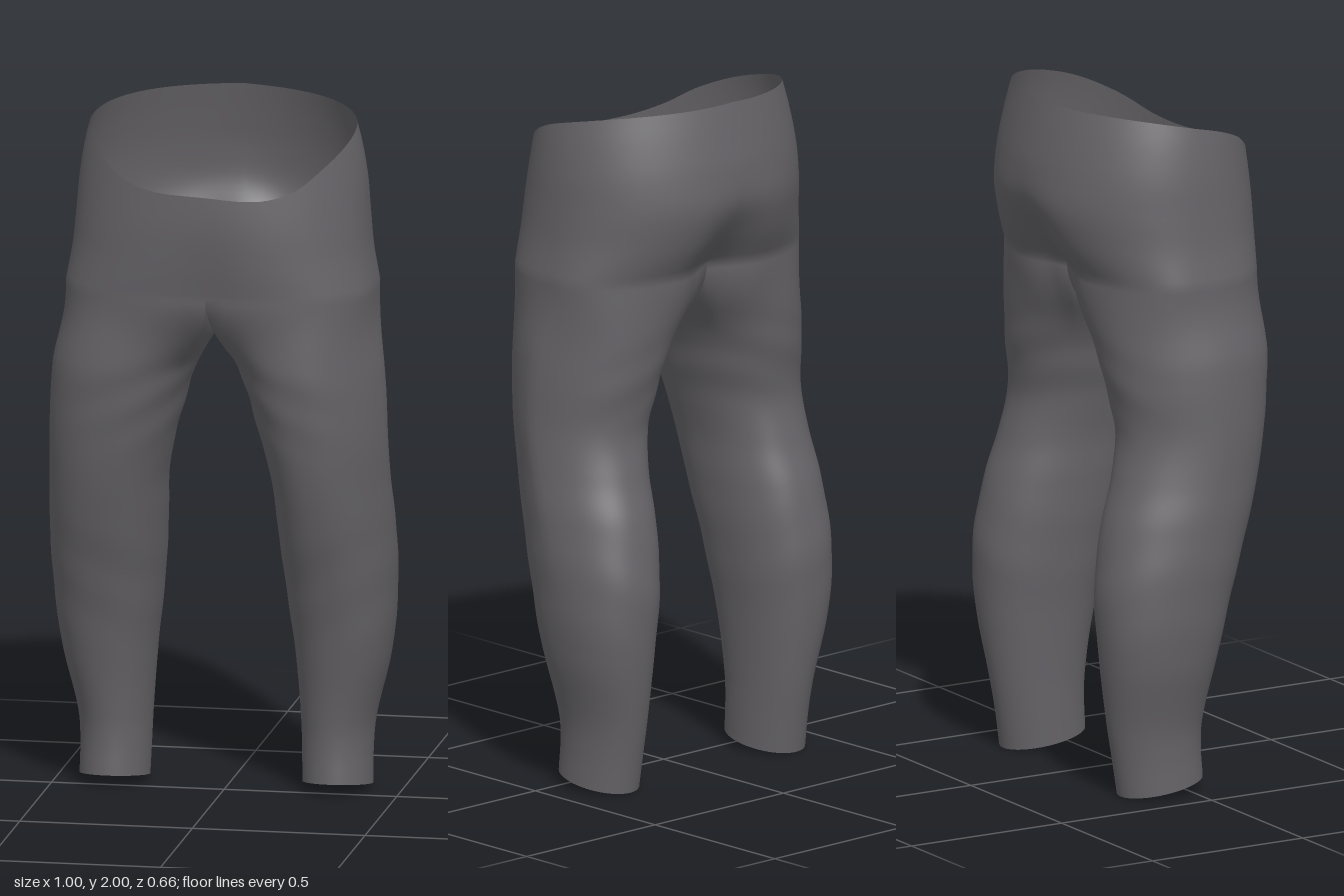
import * as THREE from 'three';
import { mergeVertices } from 'three/addons/utils/BufferGeometryUtils.js';

const OUTER = 56, INNER = 18, HIP_ROWS = 26, LEG_ROWS = 90;
const HIP_BASE = 1.5;
const { smoothstep, lerp, degToRad } = THREE.MathUtils;

// Smooth lookup through rows of [position, ...values]
function profile(rows) {
  const size = rows[0].length - 1;
  const spline = new THREE.CubicInterpolant(
    new Float32Array(rows.map(r => r[0])),
    new Float32Array(rows.flatMap(r => r.slice(1))), size);
  return p => Array.from(spline.evaluate(p));
}

// Hips: height, half width, front z, back z, front and back squareness, seat crease
const hips = profile([
  [1.50, 0.447, 0.314, -0.245, 2.70, 2.45, 0.065],
  [1.60, 0.430, 0.328, -0.303, 2.40, 2.15, 0.040],
  [1.70, 0.421, 0.335, -0.333, 2.20, 2.05, 0.012],
  [1.80, 0.413, 0.333, -0.326, 2.05, 2.05, 0.000],
  [1.90, 0.397, 0.325, -0.310, 1.98, 2.00, 0.000],
  [2.00, 0.372, 0.312, -0.290, 1.95, 1.95, 0.000],
]);

// Leg: height, inner x, outer x, front z, back z
const leg = profile([
  [0.00, 0.223, 0.423, 0.060, -0.200],
  [0.10, 0.220, 0.422, 0.055, -0.215],
  [0.20, 0.217, 0.428, 0.058, -0.232],
  [0.40, 0.203, 0.473, 0.092, -0.260],
  [0.60, 0.180, 0.495, 0.140, -0.270],
  [0.80, 0.163, 0.498, 0.200, -0.237],
  [0.92, 0.155, 0.492, 0.232, -0.200],
  [1.05, 0.128, 0.488, 0.258, -0.174],
  [1.20, 0.085, 0.482, 0.280, -0.195],
  [1.40, 0.020, 0.463, 0.302, -0.222],
  [1.50, 0.004, 0.447, 0.314, -0.240],
]);

// Waist edge: angle from the front, height
const waist = profile([
  [0, 1.805], [0.4, 1.805], [0.65, 1.828], [0.92, 1.878],
  [1.26, 1.925], [1.57, 1.952], [2.1, 1.98], [Math.PI, 2.0],
]);

const power = (v, n) => Math.sign(v) * Math.abs(v) ** (2 / n);

// One point of a half hip ring, t running from front centre to back centre
function hipPoint(t, y) {
  const [w, front, back, frontN, backN, crease] = hips(y);
  const n = Math.cos(t) > 0 ? frontN : backN;
  const c = power(Math.cos(t), n);
  const x = w * power(Math.sin(t), n);
  const dip = crease * Math.exp(-((x / 0.1) ** 2));
  return [x, y, c > 0 ? c * front - dip * 0.2 : -c * back + dip];
}

// One point of a leg ring; folds gather on the inner thigh and the shin
function legPoint(a, y, foldAmount, side) {
  const [inner, outer, front, back] = leg(y);
  const cos = Math.cos(a), sin = Math.sin(a);
  const thigh = Math.exp(-(((y - 1.2) / 0.15) ** 2)) * (0.5 - 0.5 * cos);
  const shin = Math.exp(-(((y - 0.62) / 0.2) ** 2));
  const fold = 1 + foldAmount * (
    0.012 * thigh * Math.sin(44 * y + 4 * cos + 2 * sin) +
    0.005 * shin * Math.sin(34 * y - 3 * cos));
  // Outer corners are drawn in, most at the front of the left thigh
  const pull = sin < 0 ? 0.03 : side > 0 ? 0.055 : 0.008;
  const tuck = pull * Math.abs(sin) * (0.5 + 0.5 * cos) * smoothstep(y, 0.4, 1.0);
  const n = lerp(2, 2.2, smoothstep(y, 0.1, 0.5));
  // Both legs stand a touch towards the right
  const shift = side * 0.006 * foldAmount;
  const x = (inner + outer) / 2 + (outer - inner) / 2 * power(cos, n) * fold - tuck - shift;
  const z = (front + back) / 2 + (front - back) / 2 * power(sin, n) * fold;
  const hem = 0.04 * (0.5 + 0.5 * sin) * (1 - smoothstep(y, 0, 0.25));
  return [Math.max(x, 0.004), y + hem, z];
}

// Rows of the hip half, from the waist edge down
function hipRows(side) {
  const rows = [];
  for (let i = 0; i <= HIP_ROWS; i++) {
    const row = [];
    for (let j = 0; j <= OUTER; j++) {
      const t = Math.PI * j / OUTER;
      const top = waist(t)[0] - side * 0.014 * Math.sin(2 * t) * Math.max(0, Math.cos(t));
      row.push(hipPoint(t, lerp(top, HIP_BASE, i / HIP_ROWS)));
    }
    rows.push(row);
  }
  return rows;
}

// Closed rows of a leg, starting at the hip arc plus the crotch seam
function legRows(hipEdge, side) {
  const front = hipEdge[0], back = hipEdge[OUTER];
  const start = [...hipEdge];
  for (let k = 1; k < INNER; k++) {
    const u = k / INNER;
    start.push([0, HIP_BASE - 0.04 * Math.sin(Math.PI * u), lerp(back[2], front[2], u)]);
  }
  const rows = [];
  for (let i = 0; i <= LEG_ROWS; i++) {
    const y = HIP_BASE * (1 - i / LEG_ROWS);
    const blend = 1 - smoothstep(y, 1.25, HIP_BASE);
    const row = start.map((s, j) => {
      const deg = j <= OUTER ? 145 - 290 * j / OUTER : -145 - 70 * (j - OUTER) / INNER;
      const p = legPoint(degToRad(deg), y, blend, side);
      return [
        lerp(s[0], p[0], blend),
        p[1] + (s[1] - HIP_BASE) * (1 - blend),
        lerp(s[2], p[2], blend),
      ];
    });
    row.push(row[0]);
    rows.push(row);
  }
  return rows;
}

export function createModel() {
  const positions = [], indices = [];

  // Stitch rows into a skin, mirrored for the other side
  function addSkin(rows, side) {
    const first = positions.length / 3, n = rows[0].length;
    for (const row of rows) for (const [x, y, z] of row) positions.push(side * x, y, z);
    for (let i = 0; i < rows.length - 1; i++) {
      for (let j = 0; j < n - 1; j++) {
        const a = first + i * n + j, b = a + 1, c = a + n, d = c + 1;
        if (side > 0) indices.push(a, c, b, b, c, d);
        else indices.push(a, b, c, b, d, c);
      }
    }
  }

  for (const side of [1, -1]) {
    const upper = hipRows(side);
    addSkin(upper, side);
    addSkin(legRows(upper[HIP_ROWS], side), side);
  }

  // Weld the hips and legs so the cloth shades as one smooth surface
  let geometry = new THREE.BufferGeometry();
  geometry.setAttribute('position', new THREE.Float32BufferAttribute(positions, 3));
  geometry.setIndex(indices);
  geometry = mergeVertices(geometry, 1e-4);
  geometry.computeVertexNormals();

  const trousers = new THREE.Mesh(geometry,
    new THREE.MeshStandardMaterial({ color: 0x656367, side: THREE.DoubleSide }));
  trousers.name = 'trousers';

  const group = new THREE.Group();
  group.name = 'trousersModel';
  group.add(trousers);
  return group;
}
